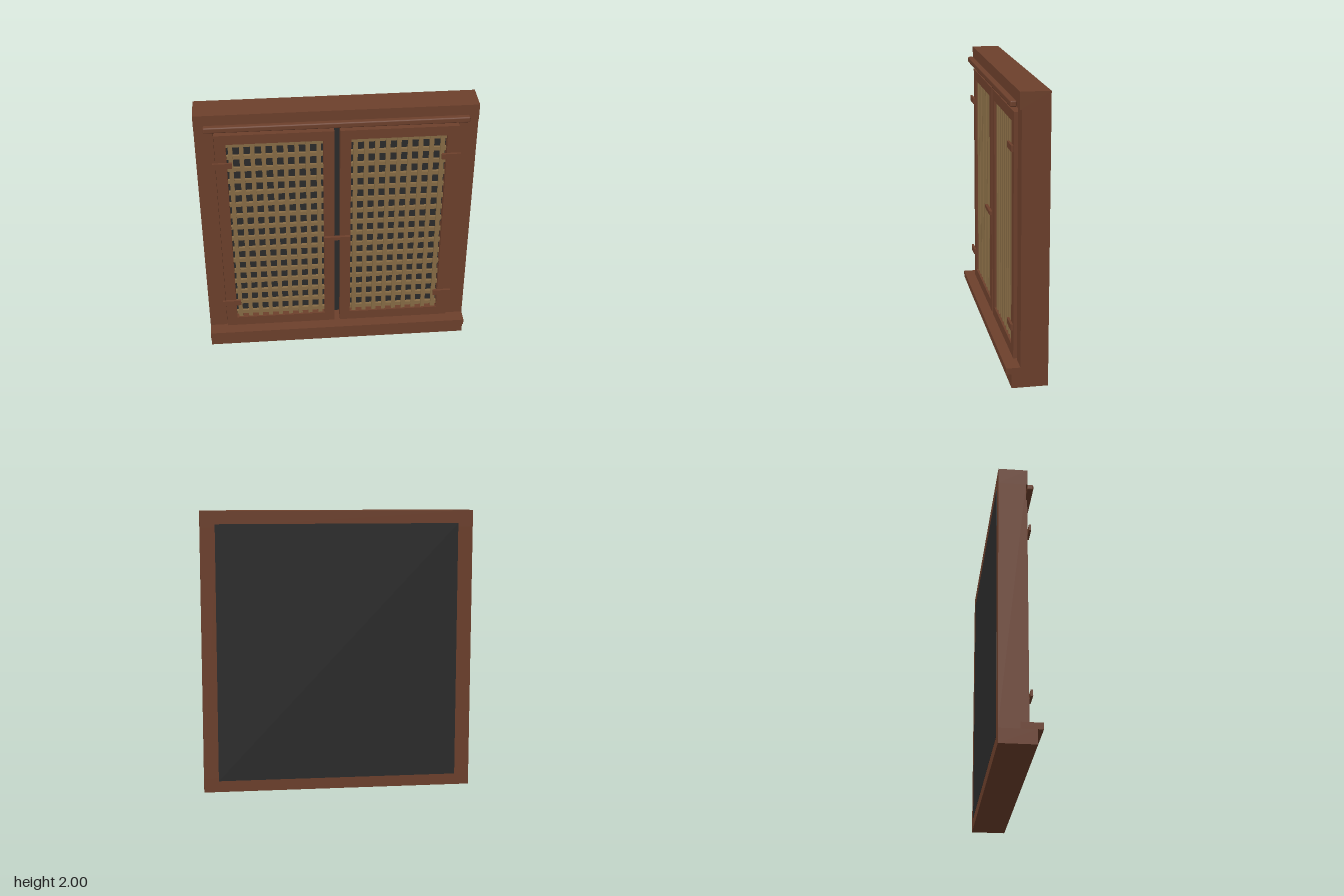
import * as THREE from 'three';
import { RoundedBoxGeometry } from 'three/addons/geometries/RoundedBoxGeometry.js';

const mat = (name, color) => Object.assign(new THREE.MeshStandardMaterial({ color }), { name });

export function createModel() {
  const wood = mat('brown wood', 0x6d402c);
  const slat = mat('tan lattice', 0x886c45);
  const dark = mat('dark backing', 0x2b2b2b);

  const root = new THREE.Group();
  root.name = 'latticeWindow';

  // Box given by its min and max on each axis; r > 0 rounds the edges
  const box = (parent, name, material, [x0, x1], [y0, y1], [z0, z1], r = 0) => {
    const size = [x1 - x0, y1 - y0, z1 - z0];
    const geo = r ? new RoundedBoxGeometry(...size, 2, r) : new THREE.BoxGeometry(...size);
    const mesh = new THREE.Mesh(geo, material);
    mesh.name = name;
    mesh.position.set((x0 + x1) / 2, (y0 + y1) / 2, (z0 + z1) / 2);
    parent.add(mesh);
    return mesh;
  };

  // Outer frame
  const W = 0.965;
  box(root, 'lintel', wood, [-W, W], [1.885, 2], [-0.14, 0.06]);
  box(root, 'sill', wood, [-W, W], [0, 0.1], [-0.14, 0.108]);
  box(root, 'sillLedge', wood, [-W, W], [0.1, 0.145], [0, 0.145]);
  box(root, 'topRail', wood, [-0.9, 0.9], [1.89, 1.932], [0.066, 0.109], 0.01);
  for (const s of [-1, 1]) {
    const x = [s * W, s * 0.838].sort((a, b) => a - b);
    box(root, s < 0 ? 'rightJamb' : 'leftJamb', wood, x, [0.1, 1.885], [-0.14, 0.048]);
  }

  // Dark board closing the back
  box(root, 'backPanel', dark, [-0.86, 0.86], [0.08, 1.91], [-0.141, -0.1]);

  // Two lattice doors, mirrored about x = 0
  for (const s of [-1, 1]) {
    const door = new THREE.Group();
    door.name = s < 0 ? 'rightDoor' : 'leftDoor';
    root.add(door);
    const span = (a, b) => (s > 0 ? [a, b] : [-b, -a]);
    const depth = [0.012, 0.073];

    box(door, 'innerStile', wood, span(0.02, 0.095), [0.155, 1.847], depth);
    box(door, 'outerStile', wood, span(0.758, 0.835), [0.155, 1.847], depth);
    box(door, 'bottomRail', wood, span(0.095, 0.758), [0.155, 0.23], depth);
    box(door, 'topRail', wood, span(0.095, 0.758), [1.775, 1.847], depth);

    // Upright slats in front of the cross slats
    for (let i = 0; i < 9; i++) {
      const x = 0.428 + (i - 4) * 0.0753;
      box(door, 'uprightSlat', slat, span(x - 0.015, x + 0.015), [0.23, 1.775], [0.04, 0.06]);
    }
    for (let j = 0; j < 16; j++) {
      const y = 1.002 + (j - 7.5) * 0.0995;
      box(door, 'crossSlat', slat, span(0.095, 0.758), [y - 0.015, y + 0.015], [0.022, 0.042]);
    }

    // Hinges
    for (const y of [0.39, 1.615])
      box(door, 'hinge', wood, span(0.722, 0.855), [y - 0.021, y + 0.021], [0.08, 0.096]);
  }

  // Latch bar across the doors
  box(root, 'latch', wood, [-0.098, 0.093], [0.946, 0.972], [0.088, 0.109]);

  return root;
}
